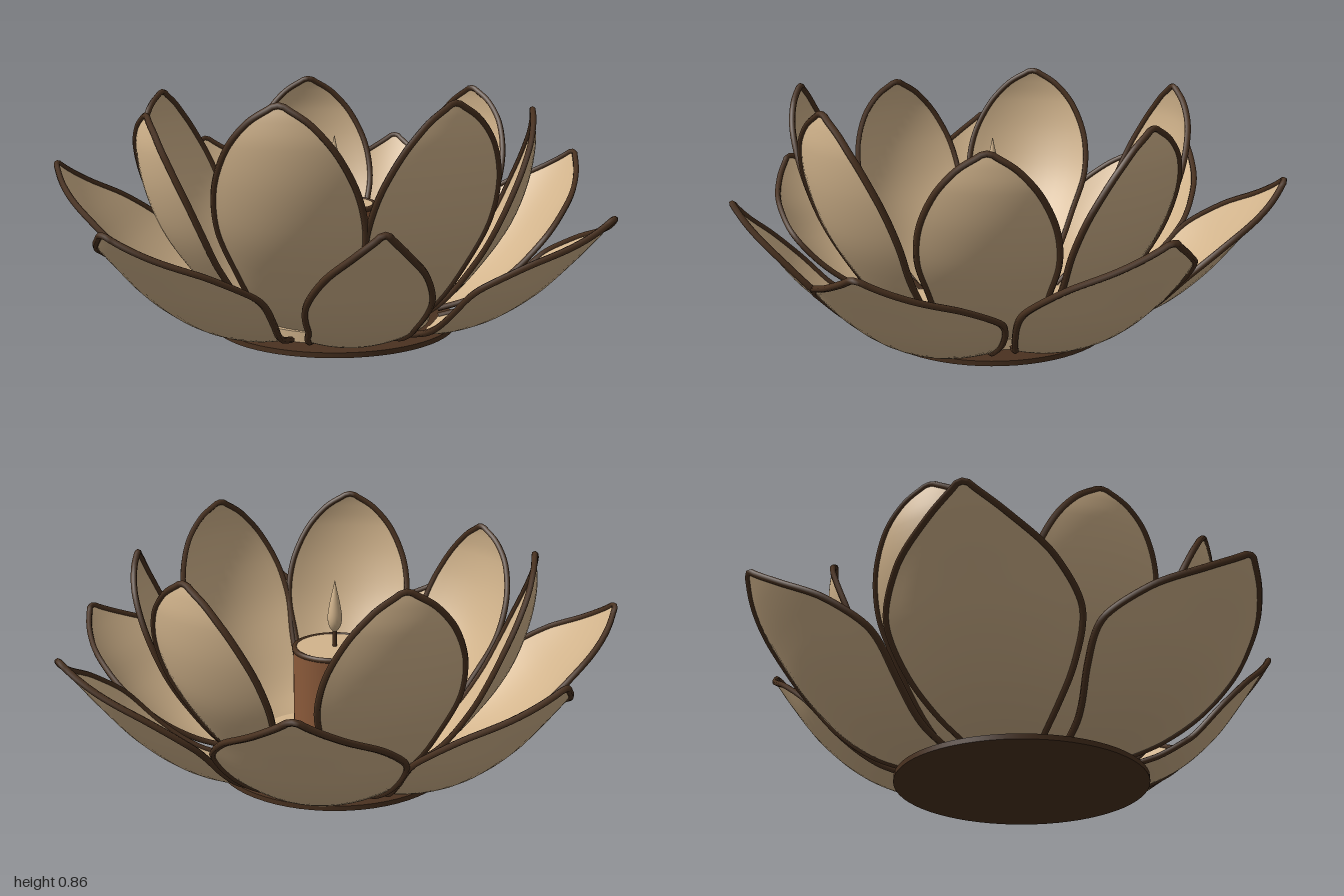
import * as THREE from 'three';

const mat = (name, color, side = THREE.FrontSide) => {
  const m = new THREE.MeshStandardMaterial({ color, side });
  m.name = name;
  return m;
};

export function createModel() {
  const tan = mat('tan', 0xd2b48c, THREE.DoubleSide);
  const darkBrown = mat('dark brown', 0x4a3220);
  const brown = mat('candle brown', 0x8b5a3a);
  const model = new THREE.Group();
  model.name = 'lotusCandleHolder';

  const add = (parent, name, geometry, material, y = 0) => {
    const mesh = new THREE.Mesh(geometry, material);
    mesh.name = name;
    mesh.position.y = y;
    parent.add(mesh);
    return mesh;
  };

  // Petal centre line: radius, height and half width at each station
  const spline = (pts) => new THREE.CatmullRomCurve3(pts.map((p) => new THREE.Vector3(...p)));
  const outerLine = spline([
    [0.36, 0.02, 0.13], [0.48, 0.045, 0.19], [0.62, 0.115, 0.265], [0.76, 0.235, 0.305],
    [0.87, 0.37, 0.24], [0.95, 0.48, 0.12], [1.0, 0.56, 0.012],
  ]);
  const innerLine = spline([
    [0.28, 0.02, 0.13], [0.42, 0.12, 0.165], [0.54, 0.27, 0.205], [0.63, 0.42, 0.24],
    [0.685, 0.58, 0.225], [0.705, 0.72, 0.165], [0.7, 0.8, 0.095], [0.69, 0.85, 0.012],
  ]);

  // Cupped petal facing +z with a dark rim along its edge, turned to its angle
  function addPetal(name, line, degrees, reach, rise, wide) {
    const r0 = line.points[0].x;
    const point = (t, s) => {
      const p = line.getPoint(t);
      const d = line.getTangent(t);
      const len = Math.hypot(d.x, d.y);
      const w = p.z * (1 + (wide - 1) * Math.min(1, 3 * t));
      const cup = 1.1 * w * w * s * s;
      return new THREE.Vector3(
        s * w,
        p.y * rise + (cup * d.x) / len,
        r0 + (p.x - r0) * reach - (cup * d.y) / len,
      );
    };
    const rows = 28, cols = 12;
    const blade = new THREE.PlaneGeometry(1, 1, cols, rows);
    const pos = blade.attributes.position;
    for (let j = 0; j <= rows; j++) {
      for (let i = 0; i <= cols; i++) {
        const p = point(1 - j / rows, (i / cols) * 2 - 1);
        pos.setXYZ(j * (cols + 1) + i, p.x, p.y, p.z);
      }
    }
    blade.computeVertexNormals();

    const edge = [];
    for (let j = 0; j <= rows; j++) edge.push(point(j / rows, -1));
    for (let j = rows; j >= 0; j--) edge.push(point(j / rows, 1));
    const rim = new THREE.TubeGeometry(new THREE.CatmullRomCurve3(edge), 110, 0.011, 6);

    const petal = new THREE.Group();
    petal.name = name;
    petal.rotation.y = THREE.MathUtils.degToRad(degrees);
    add(petal, 'petalBlade', blade, tan);
    add(petal, 'petalRim', rim, darkBrown);
    model.add(petal);
  }

  // Two rings of seven petals: angle, reach, rise, width; mirrored left and right
  const addRing = (name, line, single, pairs) => {
    addPetal(name, line, ...single);
    for (const [angle, ...size] of pairs) {
      addPetal(name + 'Left', line, angle, ...size);
      addPetal(name + 'Right', line, -angle, ...size);
    }
  };
  addRing('outerPetal', outerLine, [0, 0.86, 0.91, 0.64], [
    [51.3, 1.02, 0.85, 1.03],
    [104, 1.02, 1.01, 0.98],
    [155.7, 1.02, 1.0, 0.98],
  ]);
  addRing('innerPetal', innerLine, [180, 1, 0.975, 1], [
    [22.9, 1, 1, 1],
    [72.4, 1, 0.92, 0.92],
    [120, 1, 0.955, 1],
  ]);

  // Base plate and inner floor
  add(model, 'basePlate', new THREE.CylinderGeometry(0.44, 0.44, 0.018, 64), darkBrown, 0.009);
  add(model, 'floor', new THREE.CylinderGeometry(0.345, 0.345, 0.04, 64), tan, 0.035);

  // Candle with rim, wax top, wick and flame
  const candle = new THREE.Group();
  candle.name = 'candle';
  model.add(candle);
  add(candle, 'candleBody', new THREE.CylinderGeometry(0.15, 0.15, 0.375, 48), brown, 0.2425);
  add(candle, 'candleRim', new THREE.TorusGeometry(0.145, 0.01, 8, 48).rotateX(Math.PI / 2), darkBrown, 0.43);
  add(candle, 'waxTop', new THREE.CylinderGeometry(0.138, 0.138, 0.008, 48), tan, 0.432);
  add(candle, 'wick', new THREE.CylinderGeometry(0.008, 0.008, 0.07, 10), darkBrown, 0.465);
  const flame = new THREE.SplineCurve([
    [0.001, 0], [0.02, 0.025], [0.026, 0.06], [0.018, 0.115], [0.007, 0.165], [0.001, 0.195],
  ].map((p) => new THREE.Vector2(...p))).getPoints(20);
  add(candle, 'flame', new THREE.LatheGeometry(flame, 20), tan, 0.485);

  return model;
}
